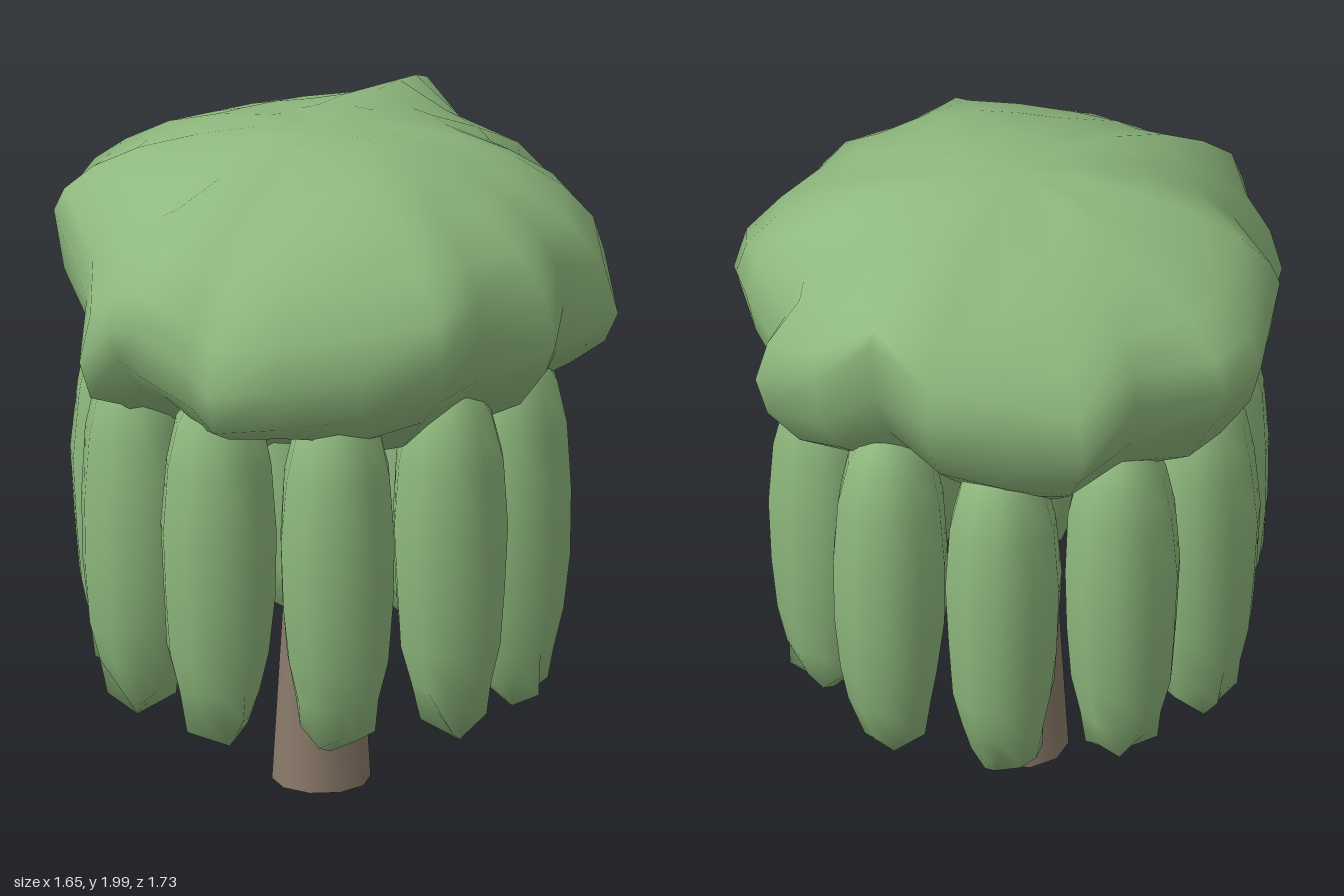
import * as THREE from 'three';

const leafGreen = new THREE.MeshStandardMaterial({ color: 0x8fb97e });
leafGreen.name = 'leafGreen';
const barkBrown = new THREE.MeshStandardMaterial({ color: 0x8b7b6b });
barkBrown.name = 'barkBrown';

// Small seeded generator, returns -1..1
function seeded(seed) {
  let s = seed;
  return () => {
    s = (s * 16807) % 2147483647;
    return (s / 2147483647) * 2 - 1;
  };
}

// Closed smooth skin: bottom pole, rings from bottom to top, top pole
function loft(bottom, rings, top) {
  const n = rings[0].length;
  const points = [bottom, ...rings.flat(), top];
  const last = points.length - 1;
  const index = [];
  const at = (r, i) => 1 + r * n + (i % n);
  for (let i = 0; i < n; i++) {
    index.push(0, at(0, i), at(0, i + 1));
    for (let r = 0; r < rings.length - 1; r++) {
      index.push(at(r, i), at(r + 1, i), at(r, i + 1));
      index.push(at(r, i + 1), at(r + 1, i), at(r + 1, i + 1));
    }
    index.push(at(rings.length - 1, i), last, at(rings.length - 1, i + 1));
  }
  const geometry = new THREE.BufferGeometry().setFromPoints(points);
  geometry.setIndex(index);
  geometry.computeVertexNormals();
  return geometry;
}

// Ragged rim of the crown: x, z and height of its widest points,
// ordered from the back round by +x to the front and on by -x
const RIM = [
  [0, -0.87, 1.55], [0.2, -0.75, 1.6], [0.43, -0.73, 1.66], [0.56, -0.57, 1.84],
  [0.68, -0.37, 1.6], [0.82, -0.245, 1.55], [0.7, -0.06, 1.5], [0.76, 0.12, 1.6],
  [0.76, 0.25, 1.6], [0.72, 0.45, 1.48], [0.52, 0.52, 1.55], [0.42, 0.7, 1.5],
  [0.19, 0.7, 1.55], [0, 0.86, 1.55], [-0.2, 0.74, 1.5], [-0.45, 0.7, 1.48],
  [-0.62, 0.59, 1.45], [-0.64, 0.47, 1.5], [-0.77, 0.37, 1.6], [-0.77, 0.21, 1.55],
  [-0.83, 0.13, 1.43], [-0.72, -0.08, 1.55], [-0.71, -0.35, 1.72], [-0.6, -0.58, 1.6],
  [-0.46, -0.73, 1.62], [-0.2, -0.7, 1.6],
];

function crownGeometry() {
  const TOP = 2.0, BOTTOM = 1.1, MEAN = 0.77;
  const rand = seeded(77);
  const rings = [];
  for (let a = -75; a <= 75; a += 15) {
    const f = Math.cos(THREE.MathUtils.degToRad(a));
    const h = Math.sin(THREE.MathUtils.degToRad(a));
    rings.push(RIM.map(([x, z, rimY]) => {
      const r = Math.hypot(x, z);
      // the spikes fade into an even dome away from the rim
      const radius = f * THREE.MathUtils.lerp(MEAN, r, f ** 4) / r;
      const y = h > 0 ? rimY + (TOP - rimY) * h : rimY + (rimY - BOTTOM) * h;
      const bump = a < 0 ? 0.03 * rand() : 0.008 * rand();
      return new THREE.Vector3(x * radius, y + bump, z * radius);
    }));
  }
  return loft(new THREE.Vector3(0, BOTTOM, 0), rings, new THREE.Vector3(0, 1.985, 0));
}

// Hanging strand: height and radius from the tip upwards
const STRAND = [
  [0.36, 0.09], [0.46, 0.122], [0.58, 0.15], [0.75, 0.165], [0.95, 0.172],
  [1.15, 0.157], [1.28, 0.128], [1.37, 0.075],
];

function strandGeometry(seed) {
  const rand = seeded(seed);
  const sides = 10;
  const rings = STRAND.map(([y, r], level) => {
    const rough = level === 0 ? 0.03 : 0.004;
    return Array.from({ length: sides }, (_, i) => {
      const t = (i / sides) * Math.PI * 2;
      const radius = r + rough * rand();
      return new THREE.Vector3(
        -Math.cos(t) * radius, y + rough * rand(), Math.sin(t) * radius);
    });
  });
  // ragged pointed tip
  const tip = new THREE.Vector3(0.04 * rand(), 0.25 + 0.03 * rand(), 0.04 * rand());
  return loft(tip, rings, new THREE.Vector3(0, 1.41, 0));
}

// Reverse every triangle when the skin was wound inwards
function faceOutwards(geometry) {
  const p = geometry.attributes.position, idx = geometry.index.array;
  const a = new THREE.Vector3(), b = new THREE.Vector3(), c = new THREE.Vector3();
  let volume = 0;
  for (let i = 0; i < idx.length; i += 3) {
    a.fromBufferAttribute(p, idx[i]);
    b.fromBufferAttribute(p, idx[i + 1]);
    c.fromBufferAttribute(p, idx[i + 2]);
    volume += a.dot(b.cross(c));
  }
  if (volume < 0) {
    for (let i = 0; i < idx.length; i += 3) [idx[i + 1], idx[i + 2]] = [idx[i + 2], idx[i + 1]];
    geometry.computeVertexNormals();
  }
  return geometry;
}

export function createModel() {
  const group = new THREE.Group();
  group.name = 'weepingTree';
  const centreX = -0.02;

  // Tapered trunk
  const trunk = new THREE.Mesh(new THREE.CylinderGeometry(0.06, 0.143, 1.4, 10), barkBrown);
  trunk.name = 'trunk';
  trunk.position.set(centreX, 0.7, 0);
  group.add(trunk);

  // Ragged crown
  const crown = new THREE.Mesh(faceOutwards(crownGeometry()), leafGreen);
  crown.name = 'crown';
  group.add(crown);

  // Ring of hanging strands
  const strands = new THREE.Group();
  strands.name = 'hangingStrands';
  const count = 10, ringRadius = 0.57;
  for (let i = 0; i < count; i++) {
    const t = (i / count) * Math.PI * 2;
    const strand = new THREE.Mesh(faceOutwards(strandGeometry(1234567 * (i + 1))), leafGreen);
    strand.name = 'strand' + (i + 1);
    strand.position.set(centreX + Math.cos(t) * ringRadius, 0, Math.sin(t) * ringRadius);
    strand.rotation.y = -t;
    strands.add(strand);
  }
  group.add(strands);
  return group;
}
